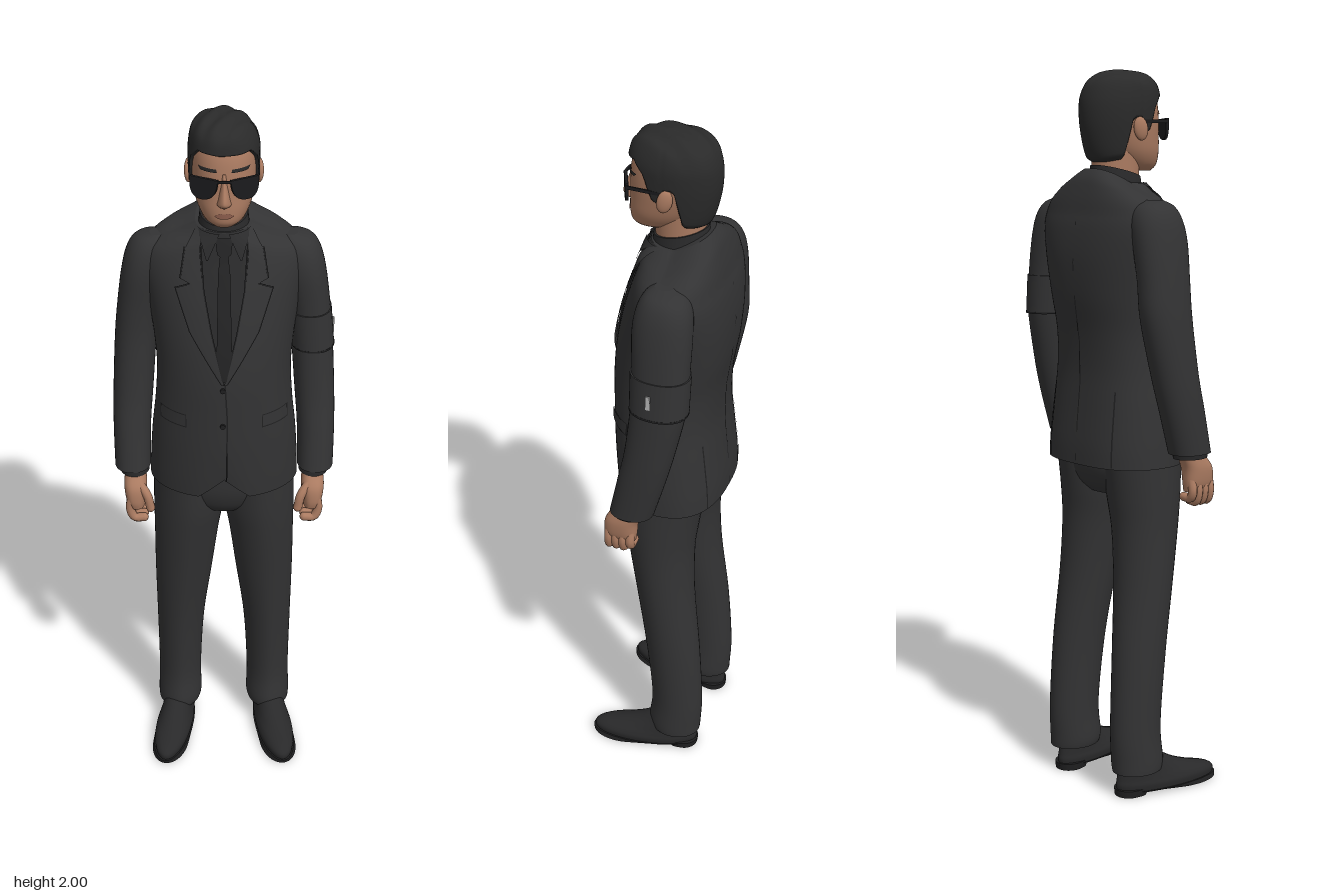
import * as THREE from 'three';

const paint = (name, hex) => {
  const m = new THREE.MeshStandardMaterial({ color: hex, side: THREE.DoubleSide });
  m.name = name;
  return m;
};
const suit = paint('suit cloth', 0x333334), shirt = paint('shirt cloth', 0x2a2a2b), tieCloth = paint('tie cloth', 0x232324);
const skin = paint('skin', 0xac7c62), lip = paint('lips', 0x8f5f4e), hairMat = paint('hair', 0x2a2a2a);
const glass = paint('dark glass', 0x1b1b1d), leather = paint('shoe leather', 0x29292a);
const seam = paint('seam shadow', 0x1f1f20), metal = paint('light metal', 0xb9b9b9);

const { lerp, clamp } = THREE.MathUtils;
const pow = (v, e) => Math.sign(v) * Math.abs(v) ** e;

// Smooth body described by sections [y, centreX, halfWidth, zFront, zBack]
function body(sections, nF = 2, nB = 2) {
  const last = sections.length - 1;
  const at = t => {
    const i = Math.min(Math.floor(t), last - 1), f = t - i;
    const [a, b, c, d] = [-1, 0, 1, 2].map(k => sections[clamp(i + k, 0, last)]);
    return b.map((p1, k) => {
      const m1 = (c[k] - a[k]) / 2, m2 = (d[k] - p1) / 2;
      return p1 + f * (m1 + f * (3 * (c[k] - p1) - 2 * m1 - m2 + f * (2 * (p1 - c[k]) + m1 + m2)));
    });
  };
  const tOf = y => {
    let lo = 0, hi = last;
    for (let k = 0; k < 24; k++) { const m = (lo + hi) / 2; if (at(m)[0] < y) lo = m; else hi = m; }
    return lo;
  };
  const point = (t, ang) => {
    const [y, cx, rx, zF, zB] = at(t), cz = (zF + zB) / 2, s = Math.sin(ang), e = 2 / (s > 0 ? nF : nB);
    return new THREE.Vector3(cx + rx * pow(Math.cos(ang), e), y, cz + (zF - cz) * pow(s, e));
  };
  // Depth of the front (side 1) or back (side -1) at a given x, y
  const depth = (x, y, side = 1) => {
    const [, cx, rx, zF, zB] = at(tOf(y)), cz = (zF + zB) / 2, n = side > 0 ? nF : nB;
    const u = Math.min(1, Math.abs((x - cx) / rx));
    return cz + side * (zF - cz) * (1 - u ** n) ** (1 / n);
  };
  return { last, tOf, point, depth };
}

// Skin a body with rings of vertices and closed ends
function loft(b, { rows = b.last * 5, seg = 40, warp = p => p, start = () => 0 } = {}) {
  const pos = [], idx = [];
  const ring = v => {
    for (let j = 0; j < seg; j++) {
      const a = j / seg * Math.PI * 2;
      pos.push(...warp(b.point(lerp(start(a), b.last, v), a), v).toArray());
    }
  };
  for (let i = 0; i <= rows; i++) ring(i / rows);
  for (let i = 0; i < rows; i++) for (let j = 0; j < seg; j++) {
    const p = i * seg + j, q = i * seg + (j + 1) % seg;
    idx.push(p, p + seg, q, q, p + seg, q + seg);
  }
  for (const v of [0, 1]) {
    const o = pos.length / 3, c = [0, 0, 0];
    ring(v);
    for (let j = 0; j < seg; j++) for (let k = 0; k < 3; k++) c[k] += pos[(o + j) * 3 + k] / seg;
    pos.push(...c);
    for (let j = 0; j < seg; j++) {
      const p = o + j, q = o + (j + 1) % seg;
      idx.push(o + seg, ...(v ? [q, p] : [p, q]));
    }
  }
  return finish(pos, idx);
}
function finish(pos, idx) {
  const g = new THREE.BufferGeometry();
  g.setAttribute('position', new THREE.Float32BufferAttribute(pos, 3));
  g.setIndex(idx);
  g.computeVertexNormals();
  return g;
}

// Thin panel laid over a body; rows are [y, x0, x1] going up
function panel(b, rows, lift, { side = 1, mirror = 1, cols = 8, steps = 6 } = {}) {
  const pos = [], idx = [], n = (rows.length - 1) * steps, w = cols + 1;
  for (let i = 0; i <= n; i++) {
    const k = Math.min(Math.floor(i / steps), rows.length - 2), f = i / steps - k;
    const [y, x0, x1] = rows[k].map((v, c) => lerp(v, rows[k + 1][c], f));
    for (let j = 0; j <= cols; j++) {
      const x = mirror * lerp(x0, x1, j / cols);
      pos.push(x, y, b.depth(x, y, side) + side * lift);
    }
  }
  for (let i = 0; i < n; i++) for (let j = 0; j < cols; j++) {
    const p = i * w + j;
    if (side * mirror > 0) idx.push(p, p + 1, p + w, p + 1, p + w + 1, p + w);
    else idx.push(p, p + w, p + 1, p + 1, p + w, p + w + 1);
  }
  return finish(pos, idx);
}
const stroke = pts => pts.map(([y, x]) => [y, x - 0.002, x + 0.002]);

export function createModel() {
  const root = new THREE.Group();
  const add = (name, geo, mat, parent = root) => {
    const m = new THREE.Mesh(geo, mat);
    m.name = name;
    parent.add(m);
    return m;
  };
  const box = (name, size, at, mat, rotY = 0) => {
    const m = add(name, new THREE.BoxGeometry(...size), mat);
    m.position.set(...at);
    m.rotation.y = rotY;
    return m;
  };

  // Jacket, with cutaway front hem and raised back collar
  const coat = body([[0.94, 0, 0.207, 0.13, -0.18], [1, 0, 0.205, 0.135, -0.178], [1.1, 0, 0.198, 0.14, -0.168],
    [1.2, 0, 0.187, 0.142, -0.16], [1.3, 0, 0.182, 0.142, -0.165], [1.4, 0, 0.19, 0.132, -0.18],
    [1.5, 0, 0.205, 0.11, -0.185], [1.58, 0, 0.217, 0.085, -0.178], [1.63, 0, 0.207, 0.067, -0.165],
    [1.66, 0, 0.165, 0.058, -0.152], [1.68, 0, 0.115, 0.052, -0.14], [1.7, 0, 0.075, 0.044, -0.12]], 2, 2.6);
  add('jacket', loft(coat, {
    seg: 72, warp: p => {
      if (p.z > 0) p.y += 0.06 * Math.max(0, 1 - Math.abs(p.x) / 0.07) * clamp(1 - (p.y - 0.94) / 0.15, 0, 1);
      p.y += 0.5 * Math.max(0, -p.z - 0.04) * clamp((p.y - 1.62) / 0.08, 0, 1);
      return p;
    }
  }), suit);
  add('shirtFront', panel(coat, [[1.31, -0.003, 0.003], [1.45, -0.036, 0.036], [1.56, -0.056, 0.056], [1.7, -0.065, 0.065]], 0.004), shirt);
  add('tie', panel(coat, [[1.32, -0.006, 0.006], [1.4, -0.02, 0.02], [1.6, -0.016, 0.016], [1.645, -0.011, 0.011],
    [1.65, -0.018, 0.018], [1.69, -0.023, 0.023]], 0.01), tieCloth);
  for (const s of [1, -1]) {
    const o = { mirror: s };
    add('lapel', panel(coat, [[1.31, 0, 0.005], [1.45, 0.033, 0.088], [1.56, 0.053, 0.125], [1.575, 0.055, 0.088],
      [1.585, 0.057, 0.112], [1.66, 0.063, 0.1], [1.7, 0.06, 0.073]], 0.009, o), suit);
    add('lapelEdge', panel(coat, stroke([[1.31, 0.007], [1.45, 0.09], [1.56, 0.127], [1.575, 0.09], [1.585, 0.114], [1.66, 0.102]]), 0.006, o), seam);
    add('lapelFold', panel(coat, stroke([[1.32, 0.003], [1.45, 0.033], [1.56, 0.053], [1.69, 0.062]]), 0.0095, o), seam);
    add('shirtCollarPoint', panel(coat, [[1.635, 0.042, 0.046], [1.7, 0.012, 0.066]], 0.012, o), shirt);
    add('pocketShadow', panel(coat, [[1.163, 0.102, 0.173], [1.203, 0.102, 0.173]], 0.002, o), seam);
    add('pocketFlap', panel(coat, [[1.168, 0.104, 0.171], [1.202, 0.104, 0.171]], 0.005, o), suit);
    add('backVent', panel(coat, stroke([[0.945, 0.13], [1.15, 0.125]]), 0.002, { side: -1, mirror: s }), seam);
  }
  add('frontEdge', panel(coat, stroke([[1, 0.006], [1.2, 0.008], [1.31, 0.002]]), 0.003), seam);
  add('backSeam', panel(coat, stroke([[0.95, 0], [1.6, 0]]), 0.001, { side: -1 }), seam);
  for (const y of [1.29, 1.18]) {
    const b = add('jacketButton', new THREE.CylinderGeometry(0.007, 0.007, 0.006, 16), seam);
    b.rotation.x = Math.PI / 2;
    b.position.set(-0.004, y, 0.145);
  }

  // Trousers, sleeves, hands and shoes
  add('trouserSeat', loft(body([[0.85, 0, 0.1, 0.06, -0.1], [0.88, 0, 0.16, 0.08, -0.125], [0.93, 0, 0.192, 0.095, -0.14], [1, 0, 0.19, 0.1, -0.14]])), suit);
  for (const s of [1, -1]) {
    const side = (rows, nF, nB) => body(rows.map(([y, cx, ...r]) => [y, cx * s, ...r]), nF, nB);
    add('trouserLeg', loft(side([[0.07, 0.138, 0.063, 0.005, -0.15], [0.1, 0.136, 0.066, 0.008, -0.152], [0.2, 0.135, 0.064, 0, -0.155],
      [0.4, 0.13, 0.07, 0.02, -0.142], [0.6, 0.118, 0.083, 0.05, -0.12], [0.75, 0.108, 0.092, 0.075, -0.115],
      [0.85, 0.1, 0.1, 0.09, -0.125], [0.95, 0.098, 0.1, 0.098, -0.14]], 1.85, 2)), suit);
    add('sleeve', loft(side([[0.985, 0.255, 0.05, 0.07, -0.052], [1.1, 0.255, 0.052, 0.045, -0.085], [1.2, 0.25, 0.055, 0.025, -0.11],
      [1.35, 0.24, 0.057, 0.01, -0.14], [1.45, 0.23, 0.057, 0.01, -0.142], [1.55, 0.213, 0.06, 0.015, -0.142],
      [1.61, 0.198, 0.06, 0.008, -0.135], [1.645, 0.185, 0.05, -0.008, -0.115], [1.66, 0.175, 0.02, -0.03, -0.08]], 2.2, 2.2)), suit);
    add('shirtCuff', loft(side([[0.97, 0.25, 0.041, 0.067, -0.035], [1, 0.253, 0.043, 0.066, -0.04]])), shirt);
    add('palm', loft(side([[0.875, 0.245, 0.022, 0.088, 0.004], [0.9, 0.248, 0.028, 0.093, 0], [0.94, 0.248, 0.032, 0.088, -0.004],
      [0.975, 0.248, 0.028, 0.062, -0.018], [1, 0.25, 0.028, 0.055, -0.025]], 2.5, 2.5)), skin);
    const finger = (name, pts, r) => {
      const curve = new THREE.CatmullRomCurve3(pts.map(([x, y, z]) => new THREE.Vector3(x * s, y, z)));
      add(name, new THREE.TubeGeometry(curve, 12, r, 10), skin);
      const tip = add(name + 'Tip', new THREE.SphereGeometry(r, 10, 8), skin);
      tip.position.copy(curve.getPoint(1));
    };
    for (let i = 0; i < 4; i++) {
      const z = 0.014 + i * 0.021, d = i === 0 ? 0.012 : 0;
      finger('finger', [[0.258, 0.91, z], [0.264, 0.875, z], [0.252, 0.845 + d, z + 0.002], [0.225, 0.845 + d, z + 0.003]], 0.0125);
    }
    finger('thumb', [[0.238, 0.95, 0.065], [0.215, 0.92, 0.083], [0.206, 0.88, 0.086]], 0.0125);

    const shoe = new THREE.Group();
    shoe.name = 'shoe';
    shoe.position.set(0.15 * s, 0, 0);
    shoe.rotation.y = 0.17 * s;
    root.add(shoe);
    add('shoeUpper', loft(body([[0.01, 0, 0.051, 0.178, -0.138], [0.03, 0, 0.054, 0.178, -0.142], [0.045, 0, 0.05, 0.155, -0.14],
      [0.06, 0, 0.045, 0.1, -0.138], [0.08, 0, 0.041, 0.045, -0.135], [0.105, 0, 0.038, 0.0, -0.13]])), leather, shoe);
    add('shoeSole', loft(body([[0.003, 0, 0.054, 0.183, -0.01], [0.014, 0, 0.056, 0.185, -0.145]])), seam, shoe);
    add('shoeHeel', loft(body([[0, 0, 0.04, -0.06, -0.143], [0.02, 0, 0.042, -0.05, -0.145]], 4, 2)), seam, shoe);
  }
  // Band with a small plate on the left sleeve
  add('armBand', loft(body([[1.335, 0.241, 0.06, 0.014, -0.144], [1.44, 0.231, 0.06, 0.014, -0.146]], 2.2, 2.2)), suit);
  add('armBandEdge', loft(body([[1.331, 0.242, 0.0605, 0.0145, -0.1445], [1.336, 0.241, 0.0605, 0.0145, -0.1445]], 2.2, 2.2)), seam);
  box('armBandPlate', [0.004, 0.04, 0.012], [0.297, 1.385, -0.055], metal);

  // Neck, collar and head
  add('neck', loft(body([[1.64, 0, 0.06, 0.03, -0.1], [1.7, 0, 0.058, 0.032, -0.1], [1.79, 0, 0.06, 0.04, -0.105]])), skin);
  add('shirtCollar', loft(body([[1.65, 0, 0.072, 0.05, -0.113], [1.73, 0, 0.063, 0.038, -0.107]]), {
    warp: p => { p.y -= 0.25 * (p.z + 0.03); return p; }
  }), shirt);
  const head = body([[1.732, 0, 0.03, 0.083, 0.01], [1.748, 0, 0.052, 0.097, -0.04], [1.78, 0, 0.07, 0.1, -0.08], [1.82, 0, 0.079, 0.098, -0.11],
    [1.87, 0, 0.084, 0.097, -0.13], [1.92, 0, 0.082, 0.09, -0.132], [1.96, 0, 0.068, 0.07, -0.115], [1.985, 0, 0.035, 0.03, -0.07]], 2.2, 2);
  add('head', loft(head), skin);
  add('nose', loft(body([[1.79, 0, 0.008, 0.103, 0.07], [1.799, 0, 0.018, 0.118, 0.07], [1.813, 0, 0.015, 0.123, 0.07],
    [1.85, 0, 0.009, 0.108, 0.07], [1.88, 0, 0.008, 0.098, 0.07]], 1.7, 2), { seg: 20 }), skin);
  add('lips', panel(head, [[1.763, -0.014, 0.014], [1.77, -0.026, 0.026], [1.777, -0.012, 0.012]], 0.003), lip);

  // Hair trimmed along a hairline, with swept locks on top
  const line = [[-1, 1.755], [-0.4, 1.765], [-0.22, 1.87], [0.0, 1.87], [0.08, 1.825], [0.22, 1.83], [0.42, 1.9], [0.7, 1.93], [1, 1.925]];
  const hairline = s => {
    const i = clamp(line.findIndex(p => p[0] >= s), 1, line.length - 1), [a, b] = [line[i - 1], line[i]];
    return lerp(a[1], b[1], clamp((s - a[0]) / (b[0] - a[0]), 0, 1));
  };
  const hair = body([[1.74, 0, 0.06, 0.02, -0.1], [1.78, 0, 0.079, 0.07, -0.122], [1.84, 0, 0.089, 0.1, -0.137], [1.89, 0, 0.092, 0.103, -0.141],
    [1.93, 0, 0.09, 0.1, -0.137], [1.965, -0.003, 0.078, 0.088, -0.122], [1.988, -0.006, 0.052, 0.058, -0.09], [1.997, -0.008, 0.015, 0.01, -0.05]], 2.2, 2);
  add('hair', loft(hair, {
    rows: 36, seg: 80, start: a => hair.tOf(hairline(Math.sin(a))),
    warp: (p, v) => {
      if (v < 0.02) { p.x *= 0.9; p.z = -0.02 + (p.z + 0.02) * 0.9; }
      p.y += 0.003 * Math.sin(p.x * 110 + p.z * 60) * clamp((p.y - 1.92) / 0.05, 0, 1);
      return p;
    }
  }), hairMat);

  // Ears, brows and sunglasses
  const lens = new THREE.Shape();
  lens.moveTo(-0.035, 0.022);
  lens.lineTo(0.037, 0.025);
  lens.bezierCurveTo(0.042, -0.01, 0.03, -0.03, 0.008, -0.03);
  lens.bezierCurveTo(-0.02, -0.03, -0.034, -0.012, -0.035, 0.022);
  const lensGeo = new THREE.ExtrudeGeometry(lens, { depth: 0.005, bevelEnabled: true, bevelSize: 0.002, bevelThickness: 0.002, bevelSegments: 2 });
  for (const s of [1, -1]) {
    const ear = add('ear', new THREE.SphereGeometry(1, 18, 14), skin);
    ear.scale.set(0.01, 0.032, 0.02);
    ear.position.set(0.09 * s, 1.845, -0.022);
    ear.rotation.set(-0.2, 0.35 * s, 0);
    add('eyebrow', panel(head, [[1.884, 0.018, 0.06], [1.893, 0.02, 0.066]], 0.003, { mirror: s }), hairMat);
    const l = add('lens', lensGeo, glass);
    l.position.set(0.048 * s, 1.846, 0.093);
    l.rotation.y = 0.42 * s;
    l.scale.x = s;
    box('glassesArm', [0.004, 0.009, 0.105], [0.088 * s, 1.864, 0.028], glass, -0.04 * s);
  }
  box('glassesBridge', [0.036, 0.006, 0.006], [0, 1.866, 0.112], glass);
  return root;
}
